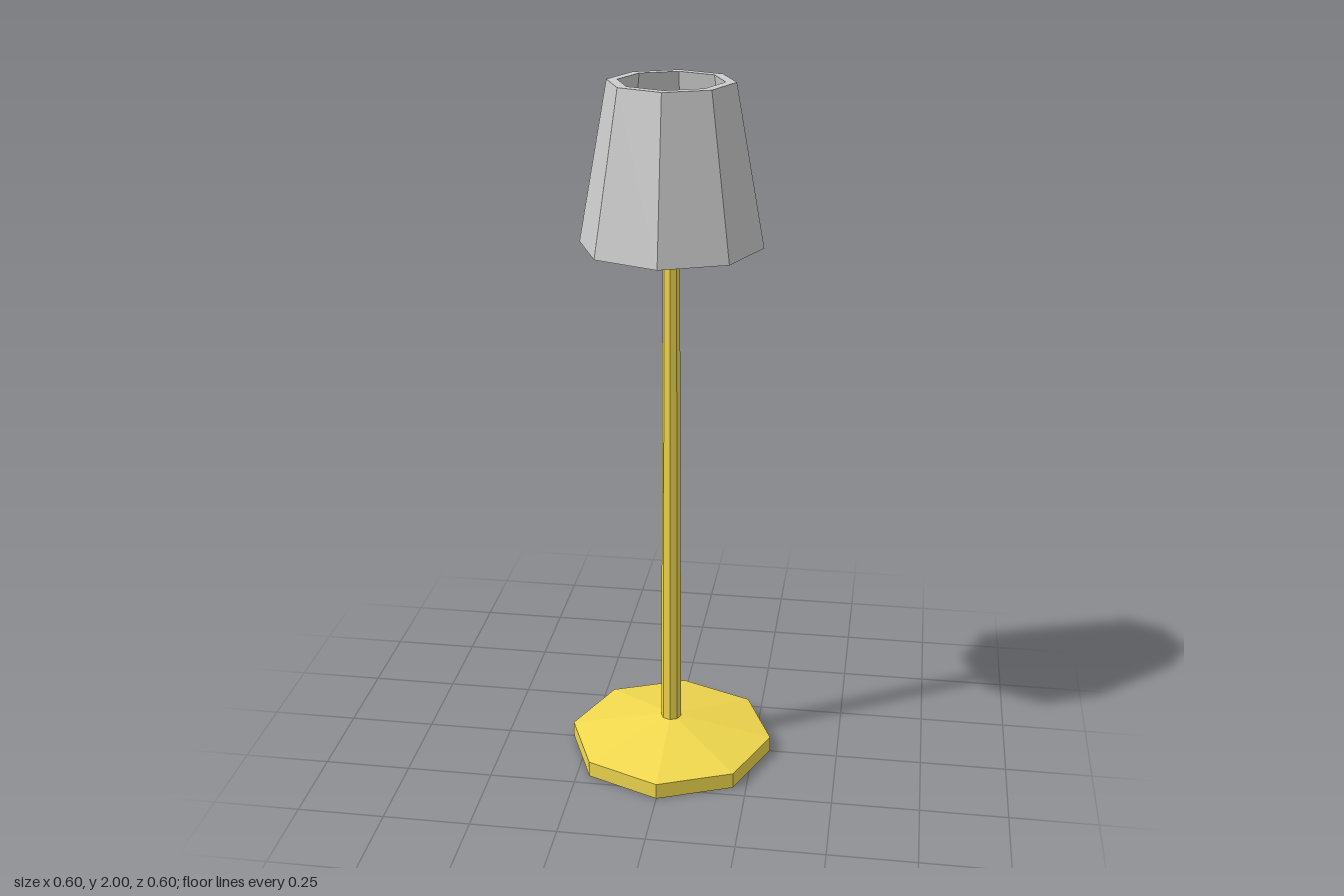
import * as THREE from 'three';

const SIDES = 8;

// Turns a [radius, height] profile into a faceted eight-sided part
function turned(name, color, profile) {
  const points = profile.map(([r, y]) => new THREE.Vector2(r, y));
  const material = new THREE.MeshStandardMaterial({ color, flatShading: true });
  const mesh = new THREE.Mesh(new THREE.LatheGeometry(points, SIDES), material);
  mesh.name = name;
  return mesh;
}

export function createModel() {
  const lamp = new THREE.Group();
  lamp.name = 'floorLamp';
  const brass = 0xf2d94e;

  // Foot: a thin slab with a shallow sloping top
  lamp.add(turned('base', brass, [[0, 0], [0.3, 0], [0.3, 0.047], [0.03, 0.1], [0, 0.1]]));

  // Slightly tapered post ending inside the shade
  lamp.add(turned('pole', brass, [[0, 0.09], [0.03, 0.09], [0.023, 1.78], [0, 1.78]]));

  // Hollow shade with a thick wall, open at both ends
  lamp.add(turned('shade', 0xcccccc, [
    [0.215, 1.56], [0.252, 1.56], [0.172, 2], [0.143, 2], [0.215, 1.56],
  ]));

  return lamp;
}
